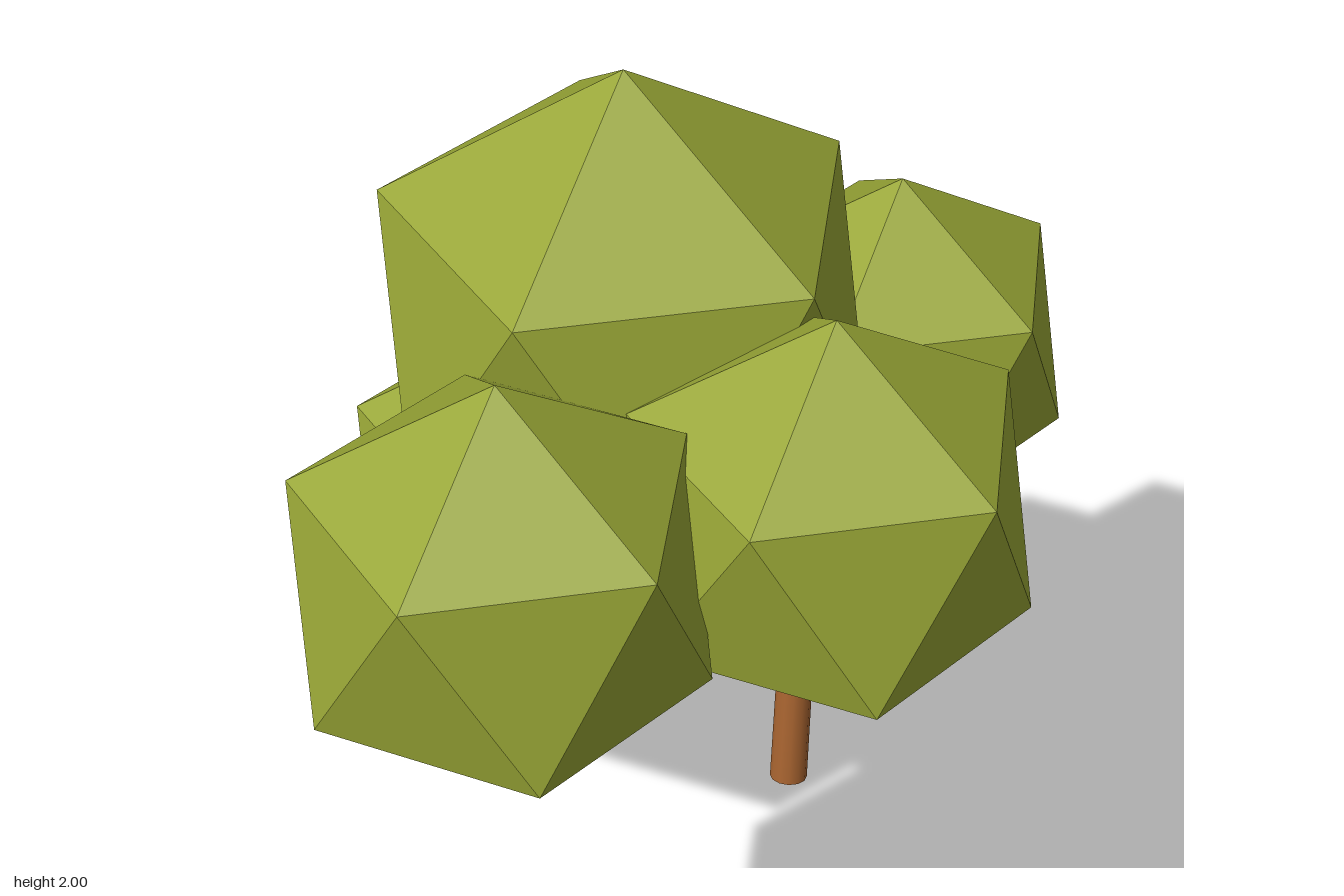
import * as THREE from 'three';

const bark = new THREE.MeshStandardMaterial({ color: 0xa5622f });
bark.name = 'bark';
const leaf = new THREE.MeshStandardMaterial({ color: 0x98a636, flatShading: true });
leaf.name = 'leaf';

// Jointed limb: points are [x, y, z, radius]
function limb(name, points) {
  const group = new THREE.Group();
  group.name = name;
  const up = new THREE.Vector3(0, 1, 0);
  for (let i = 0; i < points.length - 1; i++) {
    const a = new THREE.Vector3(...points[i].slice(0, 3));
    const b = new THREE.Vector3(...points[i + 1].slice(0, 3));
    const dir = b.clone().sub(a);
    const segment = new THREE.Mesh(
      new THREE.CylinderGeometry(points[i + 1][3], points[i][3], dir.length(), 12), bark);
    segment.name = name + 'Segment';
    segment.position.copy(a).add(b).multiplyScalar(0.5);
    segment.quaternion.setFromUnitVectors(up, dir.normalize());
    group.add(segment);
    // Rounded elbow between segments
    if (i > 0) {
      const elbow = new THREE.Mesh(new THREE.SphereGeometry(points[i][3], 12, 8), bark);
      elbow.name = name + 'Elbow';
      elbow.position.copy(a);
      group.add(elbow);
    }
  }
  return group;
}

// Icosahedral leaf clump standing on one corner
function clump(name, x, y, z, r) {
  const geometry = new THREE.IcosahedronGeometry(r, 0);
  geometry.rotateZ(-Math.atan(2 / (1 + Math.sqrt(5))));
  const mesh = new THREE.Mesh(geometry, leaf);
  mesh.name = name;
  mesh.position.set(x, y, z);
  return mesh;
}

export function createModel() {
  const tree = new THREE.Group();
  tree.name = 'tree';

  // Trunk and branches
  tree.add(
    limb('trunk', [
      [0.467, 0.005, -0.353, 0.039], [0.51, 0.41, -0.397, 0.037],
      [0.485, 0.81, -0.32, 0.036], [0.31, 1.14, -0.11, 0.034], [-0.06, 1.45, -0.08, 0.025],
    ]),
    limb('leftBranch', [[0.31, 1.14, -0.11, 0.032], [-0.1, 1.26, 0.18, 0.026], [-0.5, 1.4, 0.37, 0.02]]),
    limb('frontBranch', [[0.31, 1.14, -0.11, 0.032], [0.04, 1.37, 0.44, 0.02]]),
    limb('rightBranch', [[0.47, 0.84, -0.3, 0.028], [0.59, 1.15, -0.2, 0.02]]),
    limb('backBranch', [
      [0.49, 0.72, -0.34, 0.022], [0.36, 0.87, -0.4, 0.02],
      [0.28, 0.91, -0.42, 0.018], [0, 0.9, -0.44, 0.015],
    ]),
    limb('lowBranch', [[0.51, 0.4, -0.395, 0.022], [0.52, 0.5, -0.47, 0.019], [0.53, 0.59, -0.58, 0.015]]),
  );

  // Foliage
  tree.add(
    clump('topFoliage', -0.06, 1.512, -0.083, 0.488),
    clump('leftFoliage', -0.56, 1.42, 0.4, 0.392),
    clump('frontFoliage', 0.035, 1.388, 0.467, 0.391),
    clump('rightFoliage', 0.59, 1.168, -0.197, 0.358),
    clump('backFoliage', -0.053, 0.877, -0.44, 0.398),
    clump('smallFoliage', 0.53, 0.597, -0.595, 0.248),
  );
  return tree;
}
